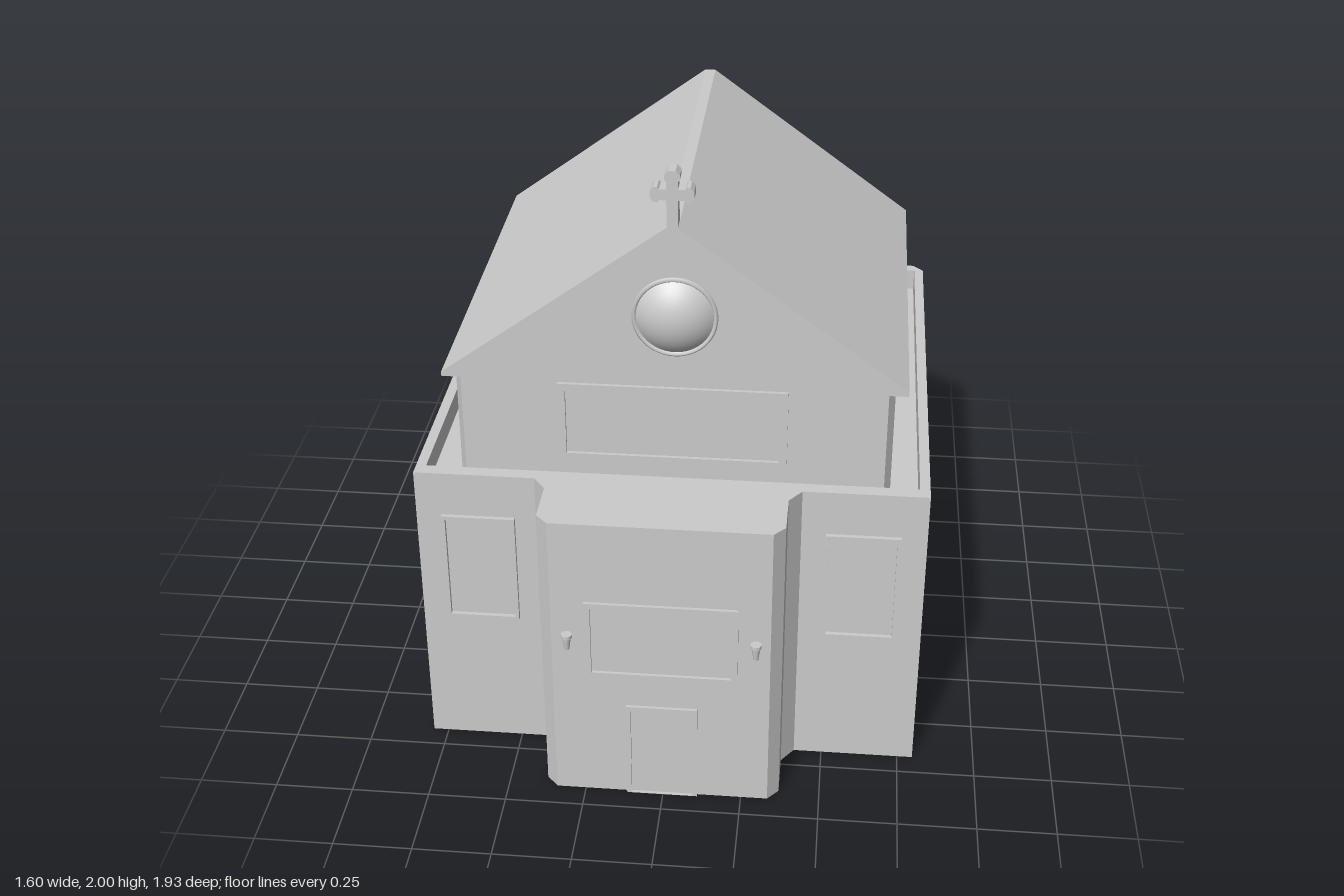
import * as THREE from 'three';

const grey = new THREE.MeshStandardMaterial({ color: 0xcccccc, side: THREE.DoubleSide });

export function createModel() {
  const root = new THREE.Group();
  root.name = 'chapel';

  const add = (name, geometry, x = 0, y = 0, z = 0, parent = root) => {
    const mesh = new THREE.Mesh(geometry, grey);
    mesh.name = name;
    mesh.position.set(x, y, z);
    parent.add(mesh);
    return mesh;
  };
  const shapeOf = (pts) => new THREE.Shape(pts.map(([x, y]) => new THREE.Vector2(x, y)));
  const rect = (x0, y0, x1, y1) => [[x0, y0], [x1, y0], [x1, y1], [x0, y1]];
  const extrude = (pts, depth, hole) => {
    const s = shapeOf(pts);
    if (hole) s.holes.push(shapeOf(hole));
    return new THREE.ExtrudeGeometry(s, { depth, bevelEnabled: false });
  };
  // Horizontal sheet from a plan outline of [x, z] points
  const sheet = (pts, hole) => {
    const s = shapeOf(pts);
    if (hole) s.holes.push(shapeOf(hole));
    return new THREE.ShapeGeometry(s).rotateX(Math.PI / 2);
  };
  // Vertical wall following a plan path of [x, z] points
  const wall = (pts, y0, y1) => {
    const pos = [];
    for (let i = 0; i < pts.length - 1; i++) {
      const [ax, az] = pts[i], [bx, bz] = pts[i + 1];
      pos.push(ax, y0, az, bx, y0, bz, bx, y1, bz, ax, y0, az, bx, y1, bz, ax, y1, az);
    }
    const g = new THREE.BufferGeometry();
    g.setAttribute('position', new THREE.Float32BufferAttribute(pos, 3));
    g.computeVertexNormals();
    return g;
  };
  // Raised rectangular surround, t wide, projecting from z0 by d
  const frame = (name, x0, y0, x1, y1, t, z0, d, bottom = t) =>
    add(name, extrude(rect(x0, y0, x1, y1), d, rect(x0 + t, y0 + bottom, x1 - t, y1 - t)), 0, 0, z0);

  // Lower storey: front with projecting porch, and back with cut corners
  const top = 1.015, deckY = 0.94;
  const porch = [[-0.42, 0.675], [-0.38, 0.73], [-0.38, 0.88], [-0.343, 0.92],
    [0.335, 0.92], [0.37, 0.88], [0.37, 0.73], [0.41, 0.675]];
  const front = [[-0.8, 0.675], ...porch, [0.8, 0.675]];
  const back = [[0.8, -0.915], [0.765, -0.955], [-0.765, -0.955], [-0.8, -0.915]];
  add('frontWall', wall(front, 0, top));
  add('backWall', wall(back, 0, top));
  add('porchFloor', sheet(porch));

  // Side walls with a long recessed panel
  for (const s of [1, -1]) {
    const g = extrude(rect(-0.675, 0, 0.915, top), 0.015, rect(-0.56, 0.515, 0.845, 0.835));
    g.rotateY(Math.PI / 2);
    add('sideWall', g, s > 0 ? 0.785 : -0.8);
    add('sidePanel', new THREE.PlaneGeometry(1.405, 0.32).rotateY(s * Math.PI / 2), s * 0.785, 0.675, -0.1425);
  }

  // Parapet and sunken deck, open under the upper storey
  const inner = rect(-0.768, -0.912, 0.768, 0.63);
  const upper = [[-0.68, 0.515], [-0.66, 0.545], [0.66, 0.545], [0.68, 0.515],
    [0.68, -0.785], [0.66, -0.815], [-0.66, -0.815], [-0.68, -0.785]];
  add('parapetTop', sheet([...front, ...back], inner), 0, top, 0);
  add('parapetInside', wall([...inner, inner[0]], deckY, top));
  add('deck', sheet(inner, upper), 0, deckY, 0);

  // Upper storey and gabled roof
  add('upperWalls', wall([...upper, upper[0]], deckY, 1.29));
  add('roof', extrude([[-0.72, 1.29], [0.72, 1.29], [0.72, 1.305], [0.018, 1.82],
    [-0.018, 1.82], [-0.72, 1.305]], 1.36), 0, 0, -0.815);

  // Window and door surrounds
  for (const s of [1, -1]) {
    const f = s > 0 ? [0.487, 0.72] : [-0.72, -0.487];
    const b = s > 0 ? [0.38, 0.765] : [-0.765, -0.38];
    frame('frontWindow', f[0], 0.48, f[1], 0.865, 0.012, 0.675, 0.014);
    frame('backWindow', b[0], 0.48, b[1], 0.865, 0.015, -0.97, 0.015);
  }
  frame('porchWindow', -0.24, 0.455, 0.235, 0.735, 0.02, 0.92, 0.01);
  frame('doorSurround', -0.115, 0, 0.11, 0.347, 0.015, 0.92, 0.01, 0.001);
  frame('upperFrontWindow', -0.36, top, 0.355, 1.287, 0.025, 0.545, 0.011);
  frame('upperBackWindow', -0.36, top, 0.355, 1.287, 0.025, -0.826, 0.011);

  // Domed round window with a rim
  const dome = [];
  for (let i = 0; i <= 12; i++) {
    const r = 0.118 * (i / 12), R = 0.166;
    dome.push(new THREE.Vector2(r, 0.6 - R + Math.sqrt(R * R - r * r) - 0.545));
  }
  add('roundWindow', new THREE.LatheGeometry(dome, 48).rotateX(Math.PI / 2), 0.007, 1.53, 0.545);
  const rim = [[0.131, 0], [0.131, 0.008], [0.124, 0.014], [0.118, 0.006]].map(([r, y]) => new THREE.Vector2(r, y));
  add('roundWindowRim', new THREE.LatheGeometry(rim, 48).rotateX(Math.PI / 2), 0.007, 1.53, 0.545);

  // Ridge cross with flared, rounded arm ends
  const arm = [[0.017, 0.017], [0.038, 0.017], [0.044, 0.024], [0.054, 0.024], [0.065, 0.012],
    [0.065, -0.012], [0.054, -0.024], [0.044, -0.024], [0.038, -0.017]];
  const cross = [];
  for (const p of arm) cross.push(p);
  cross.push([0.017, -0.017], [0.017, -0.115], [-0.017, -0.115], [-0.017, -0.017]);
  for (const [x, y] of arm.slice(1).reverse()) cross.push([-x, y]);
  cross.push([-0.017, 0.017], [-0.017, 0.04], [-0.023, 0.048], [-0.023, 0.062], [-0.01, 0.075],
    [0.01, 0.075], [0.023, 0.062], [0.023, 0.048], [0.017, 0.04]);
  add('ridgeCross', extrude(cross, 0.055), 0, 1.925, 0.49);

  // Wall lamps beside the porch window
  for (const s of [1, -1]) {
    const lamp = new THREE.Group();
    lamp.name = 'wallLamp';
    lamp.position.set(s * 0.291, 0, 0.947);
    root.add(lamp);
    add('lampCap', new THREE.CylinderGeometry(0.017, 0.017, 0.012, 16), 0, 0.624, 0, lamp);
    add('lampShade', new THREE.CylinderGeometry(0.014, 0.008, 0.043, 16), 0, 0.597, 0, lamp);
    add('lampBracket', new THREE.BoxGeometry(0.008, 0.008, 0.03), 0, 0.583, -0.014, lamp);
  }
  return root;
}
